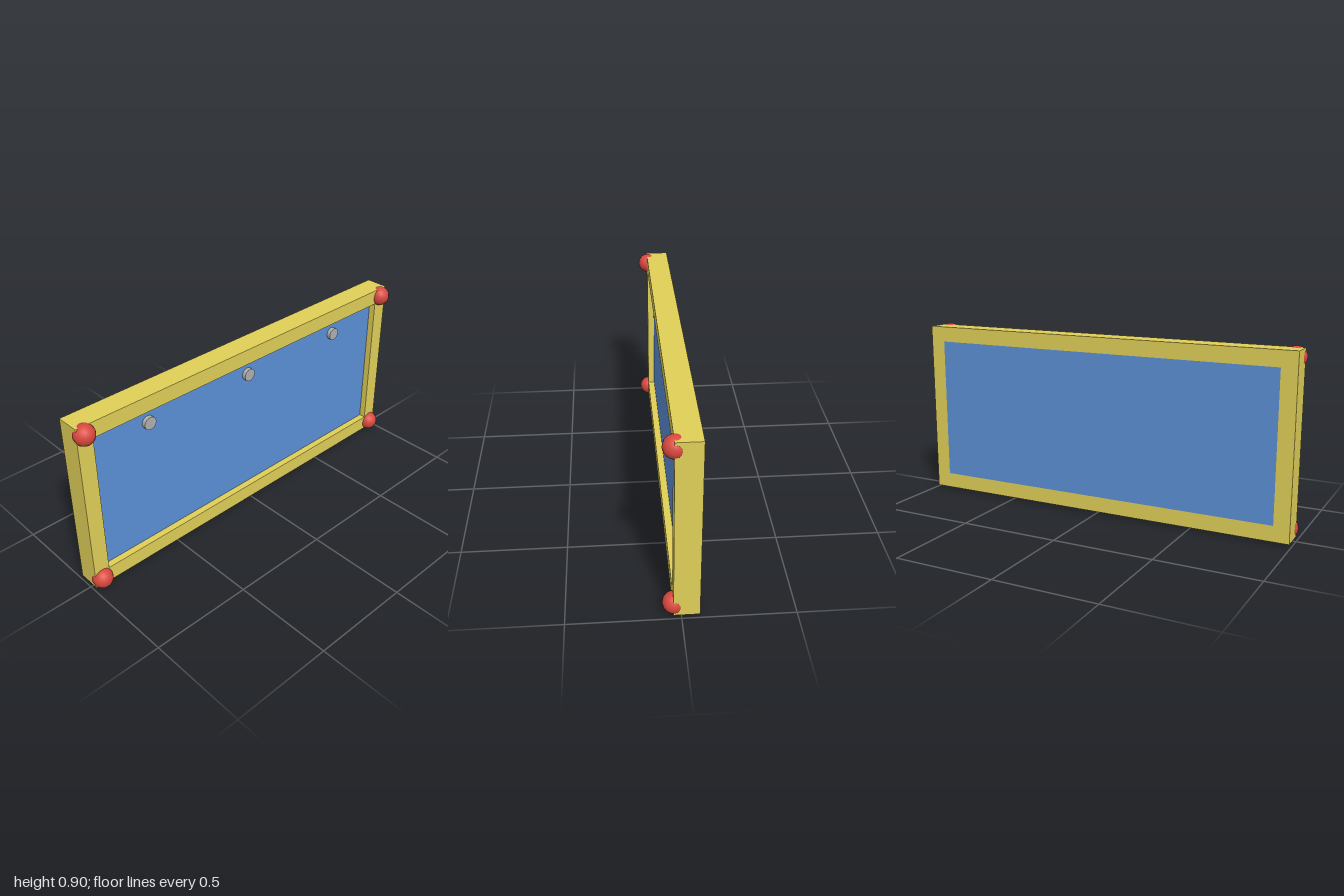
import * as THREE from 'three';

export function createModel() {
  const model = new THREE.Group();
  const yellow = new THREE.MeshStandardMaterial({ color: 0xe0cf58 });
  const blue = new THREE.MeshStandardMaterial({ color: 0x5b8fd6 });
  const red = new THREE.MeshStandardMaterial({ color: 0xd9493f });
  const grey = new THREE.MeshStandardMaterial({ color: 0xb0b0b0 });

  const add = (name, geometry, material, x, y, z) => {
    const mesh = new THREE.Mesh(geometry, material);
    mesh.name = name;
    mesh.position.set(x, y, z);
    model.add(mesh);
    return mesh;
  };

  const back = -0.08, front = 0.035;
  const depth = front - back, midZ = (front + back) / 2;
  const midY = 0.4525, height = 0.885, width = 1.98, bar = 0.078;
  const innerW = width - 2 * bar, innerH = height - 2 * bar;

  // Frame: two full-height posts with rails between them
  for (const s of [-1, 1]) {
    add(s > 0 ? 'leftPost' : 'rightPost', new THREE.BoxGeometry(bar, height, depth),
      yellow, s * (width - bar) / 2, midY, midZ);
    add(s > 0 ? 'topRail' : 'bottomRail', new THREE.BoxGeometry(innerW, bar, depth),
      yellow, 0, midY + s * (height - bar) / 2, midZ);
  }

  // Panel: flush with the back of the frame, recessed at the front
  const panelFront = 0.0, panelDepth = panelFront - back;
  add('panel', new THREE.BoxGeometry(innerW, innerH, panelDepth), blue, 0, midY, back + panelDepth / 2);

  // Round studs along the top of the panel
  for (const x of [-0.605, 0, 0.605]) {
    add('stud', new THREE.CylinderGeometry(0.032, 0.032, 0.02, 16), grey, x, 0.74, panelFront + 0.01)
      .rotation.x = Math.PI / 2;
  }

  // Ball on each front corner
  for (const x of [-0.95, 0.95]) {
    for (const y of [0.05, 0.852]) {
      add('cornerBall', new THREE.SphereGeometry(0.05, 16, 12), red, x, y, 0.032);
    }
  }

  return model;
}
